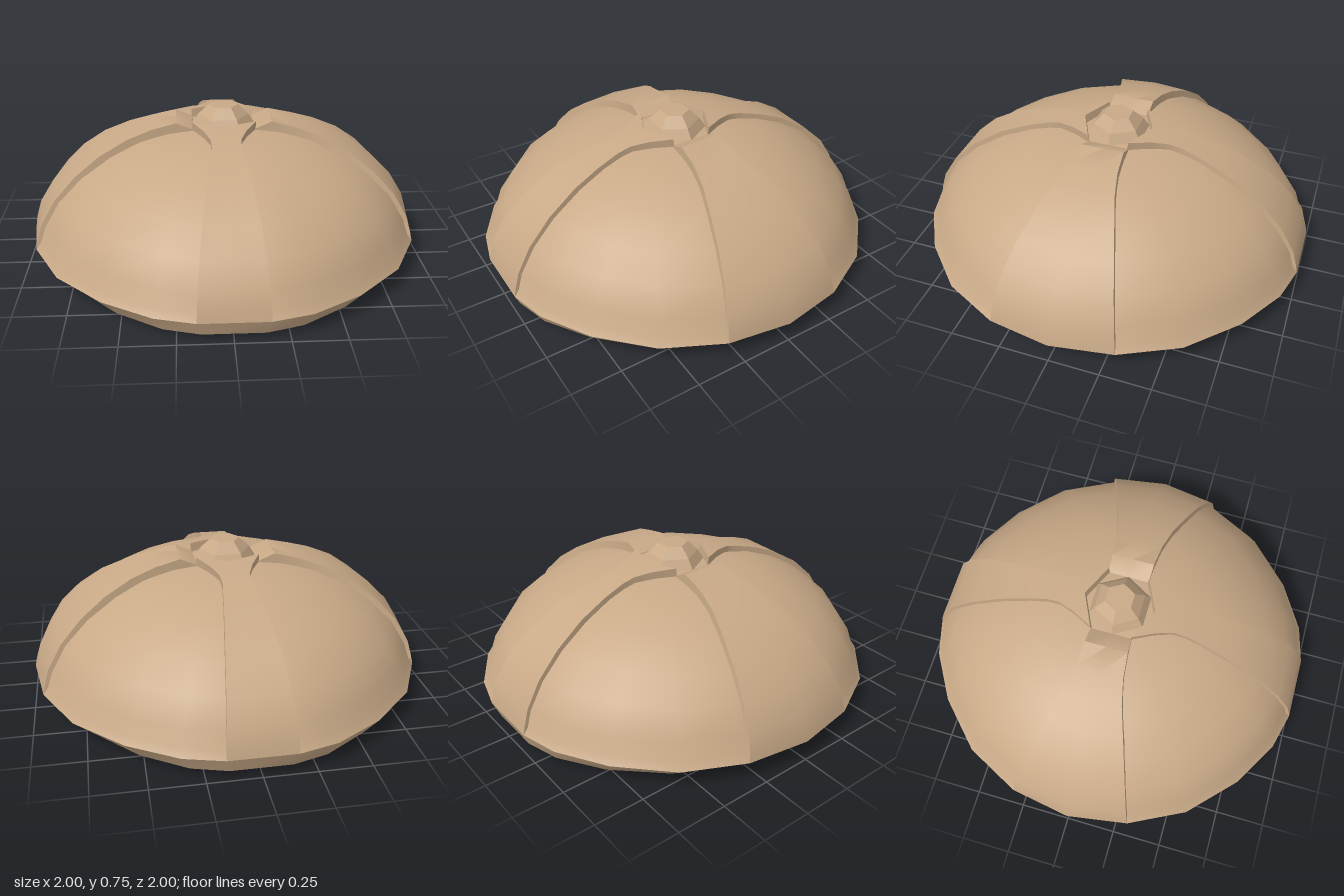
import * as THREE from 'three';
import { toCreasedNormals } from 'three/addons/utils/BufferGeometryUtils.js';

const COLOR = 0xc8a987;

// Skin a list of closed cross-section loops (each an array of [x, y, z]).
function loft(loops) {
  const n = loops[0].length, index = [];
  for (let j = 0; j < loops.length - 1; j++) {
    for (let i = 0; i < n; i++) {
      const a = j * n + i, b = a + n, c = j * n + (i + 1) % n, d = c + n;
      index.push(a, b, c, b, d, c);
    }
  }
  const geo = new THREE.BufferGeometry();
  geo.setAttribute('position', new THREE.Float32BufferAttribute(loops.flat(2), 3));
  geo.setIndex(index);
  return toCreasedNormals(geo, 0.65);
}

// Plan outline, one quadrant mirrored to a full loop running from +x towards +z.
function planOutline() {
  const q = [[0.95, 0.31], [0.81, 0.59], [0.585, 0.81], [0.35, 0.95], [0.16, 1]];
  const half = [[1, 0], ...q, ...q.map(([x, z]) => [-x, z]).reverse()];
  return [...half, ...half.map(([x, z]) => [-x, -z])];
}

// Raised band along +x: rows of [reach, height, half width, how far the edges fall back].
function bandGeometry(rows) {
  const across = [-1, 0, 1];
  const loops = rows.map(([p, y, w, back]) => {
    const top = across.map(u => [p - back * Math.abs(u), y, u * w]);
    const under = top.map(([x, h, z]) => [x - 0.06 * p, Math.max(0.1, h - 0.06), z]).reverse();
    return [...top, ...under];
  });
  // close both ends by folding the top onto the underside
  const fold = loop => {
    const under = loop.slice(3);
    return [...under.slice().reverse(), ...under];
  };
  return loft([fold(loops[0]), ...loops, fold(loops[loops.length - 1])]);
}

export function createModel() {
  const group = new THREE.Group();
  const smooth = new THREE.MeshStandardMaterial({ color: COLOR });
  const faceted = new THREE.MeshStandardMaterial({ color: COLOR, flatShading: true });
  const add = (geo, name, mat = smooth) => {
    const mesh = new THREE.Mesh(geo, mat);
    mesh.name = name;
    group.add(mesh);
    return mesh;
  };

  // Shell: [scale x, scale z, height] from the underside to the crown
  const outline = planOutline();
  const levels = [
    [0, 0, 0], [0.5, 0.84, 0], [0.89, 0.97, 0.03], [1, 1, 0.105],
    [0.975, 0.975, 0.14], [0.945, 0.95, 0.22], [0.87, 0.87, 0.34], [0.75, 0.75, 0.45],
    [0.6, 0.6, 0.54], [0.45, 0.45, 0.6], [0.3, 0.3, 0.635], [0.16, 0.16, 0.65], [0, 0, 0.655],
  ];
  add(loft(levels.map(([sx, sz, y]) => outline.map(([x, z]) => [x * sx, y, z * sz]))), 'shell');

  // Wide side bands, dipping towards the crown
  const side = bandGeometry([
    [1, 0.105, 0.31, 0.05], [0.99, 0.15, 0.305, 0.05], [0.965, 0.23, 0.295, 0.047],
    [0.89, 0.35, 0.27, 0.042], [0.78, 0.46, 0.235, 0.035], [0.65, 0.55, 0.195, 0.025],
    [0.5, 0.62, 0.148, 0.015], [0.37, 0.66, 0.12, 0.006], [0.24, 0.69, 0.108, 0],
    [0.155, 0.652, 0.105, 0],
  ]);
  add(side, 'leftBand');
  add(side, 'rightBand').rotation.y = Math.PI;

  // Narrow front and back bands, waisted and flared around the cap
  const long = bandGeometry([
    [1, 0.105, 0.162, 0], [0.99, 0.15, 0.16, 0], [0.965, 0.23, 0.156, 0],
    [0.89, 0.35, 0.145, 0], [0.77, 0.465, 0.128, 0], [0.62, 0.56, 0.106, 0],
    [0.48, 0.617, 0.086, 0], [0.36, 0.652, 0.07, 0], [0.3, 0.668, 0.073, 0.005],
    [0.24, 0.682, 0.105, 0.03], [0.18, 0.692, 0.16, 0.075],
  ]);
  add(long, 'frontBand').rotation.y = -Math.PI / 2;
  add(long, 'backBand').rotation.y = Math.PI / 2;

  // Six-sided cap on the crown
  const capProfile = [[0.16, 0.62], [0.16, 0.65], [0.128, 0.7], [0.075, 0.75], [0, 0.75]]
    .map(([r, y]) => new THREE.Vector2(r, y));
  add(new THREE.LatheGeometry(capProfile, 6), 'crownCap', faceted).rotation.y = Math.PI / 6;

  return group;
}
